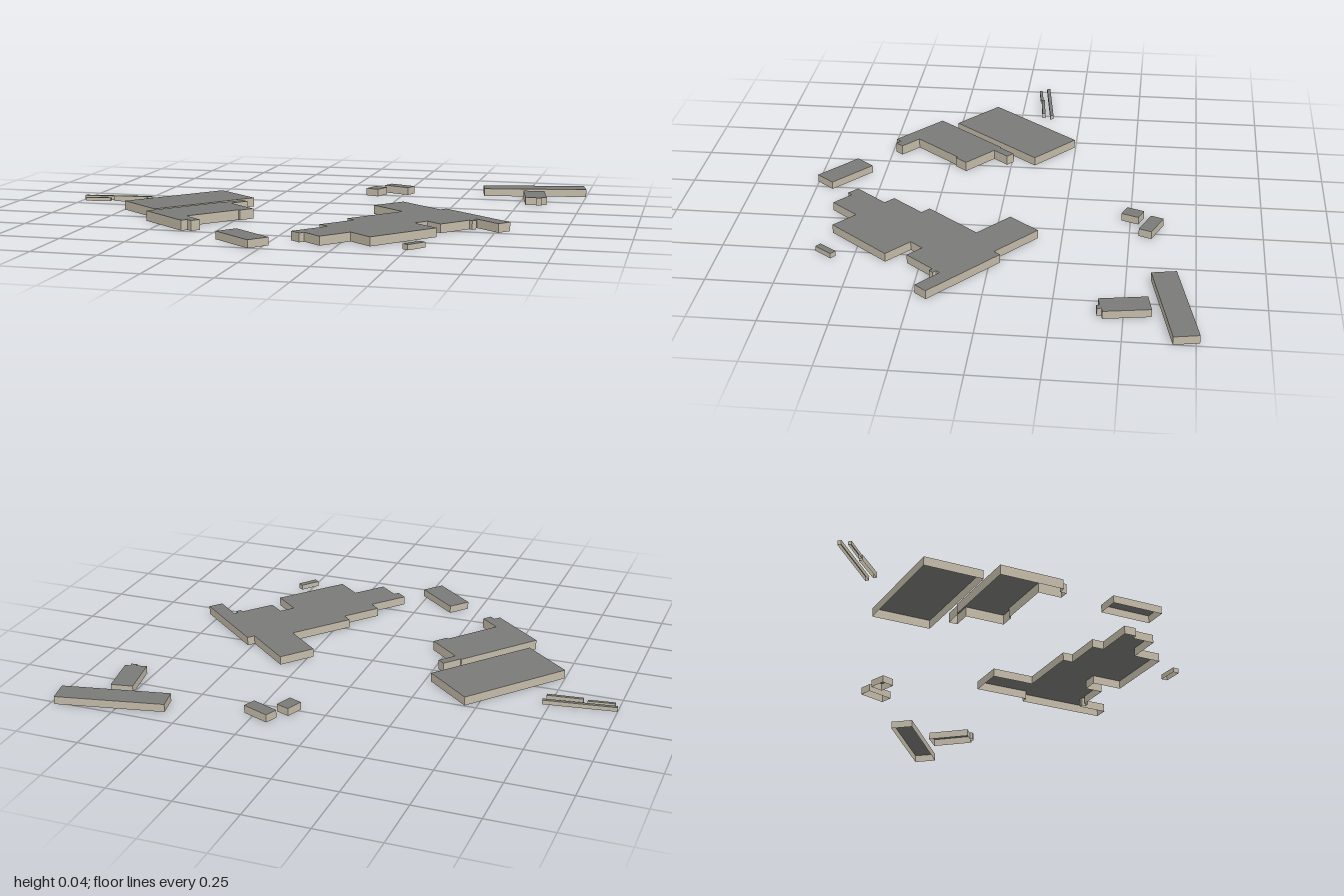
import * as THREE from 'three';
import { mergeGeometries } from 'three/addons/utils/BufferGeometryUtils.js';

// Site grid shared by the large buildings, in degrees
const GRID = 39.7;

// Square-cornered footprint: walk alternately along and across the
// building's own axes, then close the outline with one last corner
function footprint(x, z, degrees, steps) {
  const c = Math.cos(degrees * Math.PI / 180), s = Math.sin(degrees * Math.PI / 180);
  let along = 0, across = 0;
  const corner = () => new THREE.Vector2(x + along * c - across * s, z + along * s + across * c);
  const plan = [corner()];
  steps.forEach((step, i) => {
    if (i % 2) across += step;
    else along += step;
    plan.push(corner());
  });
  along = 0;
  plan.push(corner());
  return plan;
}

// One upright panel per footprint edge, facing outward
function wallsGeometry(plan, height) {
  return mergeGeometries(plan.map((a, i) => {
    const b = plan[(i + 1) % plan.length];
    return new THREE.PlaneGeometry(a.distanceTo(b), height)
      .rotateY(Math.atan2(b.y - a.y, a.x - b.x))
      .translate((a.x + b.x) / 2, height / 2, (a.y + b.y) / 2);
  }));
}

// Flat roof filling the footprint
function roofGeometry(plan, height) {
  const shape = new THREE.Shape(plan.map((p) => new THREE.Vector2(p.x, -p.y)));
  return new THREE.ShapeGeometry(shape).rotateX(-Math.PI / 2).translate(0, height, 0);
}

export function createModel() {
  const wallMat = new THREE.MeshStandardMaterial({ color: 0xc4bcaa, side: THREE.DoubleSide });
  wallMat.name = 'wall beige';
  const roofMat = new THREE.MeshStandardMaterial({ color: 0x7a7a78, side: THREE.DoubleSide });
  roofMat.name = 'roof grey';

  const model = new THREE.Group();
  model.name = 'buildingCluster';

  // Shell of walls and roof, open underneath
  function addBuilding(name, height, x, z, degrees, steps) {
    const plan = footprint(x, z, degrees, steps);
    const building = new THREE.Group();
    building.name = name;
    const walls = new THREE.Mesh(wallsGeometry(plan, height), wallMat);
    walls.name = 'walls';
    const roof = new THREE.Mesh(roofGeometry(plan, height), roofMat);
    roof.name = 'roof';
    building.add(walls, roof);
    model.add(building);
  }

  // Large buildings on the site grid
  addBuilding('largeHall', 0.035, -0.455, -0.246, GRID, [0.236, 0.459]);
  addBuilding('steppedHall', 0.039, -0.294, -0.005, GRID,
    [0.035, 0.076, 0.158, 0.062, -0.009, 0.232, 0.095, 0.038, -0.026, 0.027, -0.258, -0.356]);
  addBuilding('mainComplex', 0.034, 0.326, -0.16, GRID,
    [0.227, -0.031, 0.363, 0.058, -0.119, 0.018, 0.017, 0.02, -0.016, 0.139, -0.074, 0.062,
      0.125, 0.303, -0.114, 0.137, -0.092, 0.022, -0.05, -0.16, -0.049, -0.159, -0.042, -0.262]);
  addBuilding('frontBlock', 0.03, -0.144, 0.551, GRID, [0.208, 0.09]);
  addBuilding('frontShed', 0.02, 0.535, 0.567, 37, [0.026, 0.082]);

  // Narrow rows at the side
  addBuilding('longRow', 0.017, -1, -0.1, -7.4, [0.28, 0.014]);
  addBuilding('shortRowRight', 0.022, -0.868, -0.086, -6, [0.139, 0.013]);
  addBuilding('shortRowLeft', 0.014, -0.985, -0.066, -7.7, [0.104, 0.012]);

  // Houses and barn at the back
  addBuilding('backHouse', 0.031, 0.182, -0.626, 21.9, [0.115, 0.052]);
  addBuilding('backCottage', 0.03, 0.128, -0.551, 21, [0.056, 0.07]);
  addBuilding('backBarn', 0.031, 0.567, -0.68, -11.4, [0.423, 0.093]);
  addBuilding('backBarnWing', 0.03, 0.749, -0.583, -10, [0.086, 0.172, -0.021, 0.016, -0.023, -0.012]);

  return model;
}
